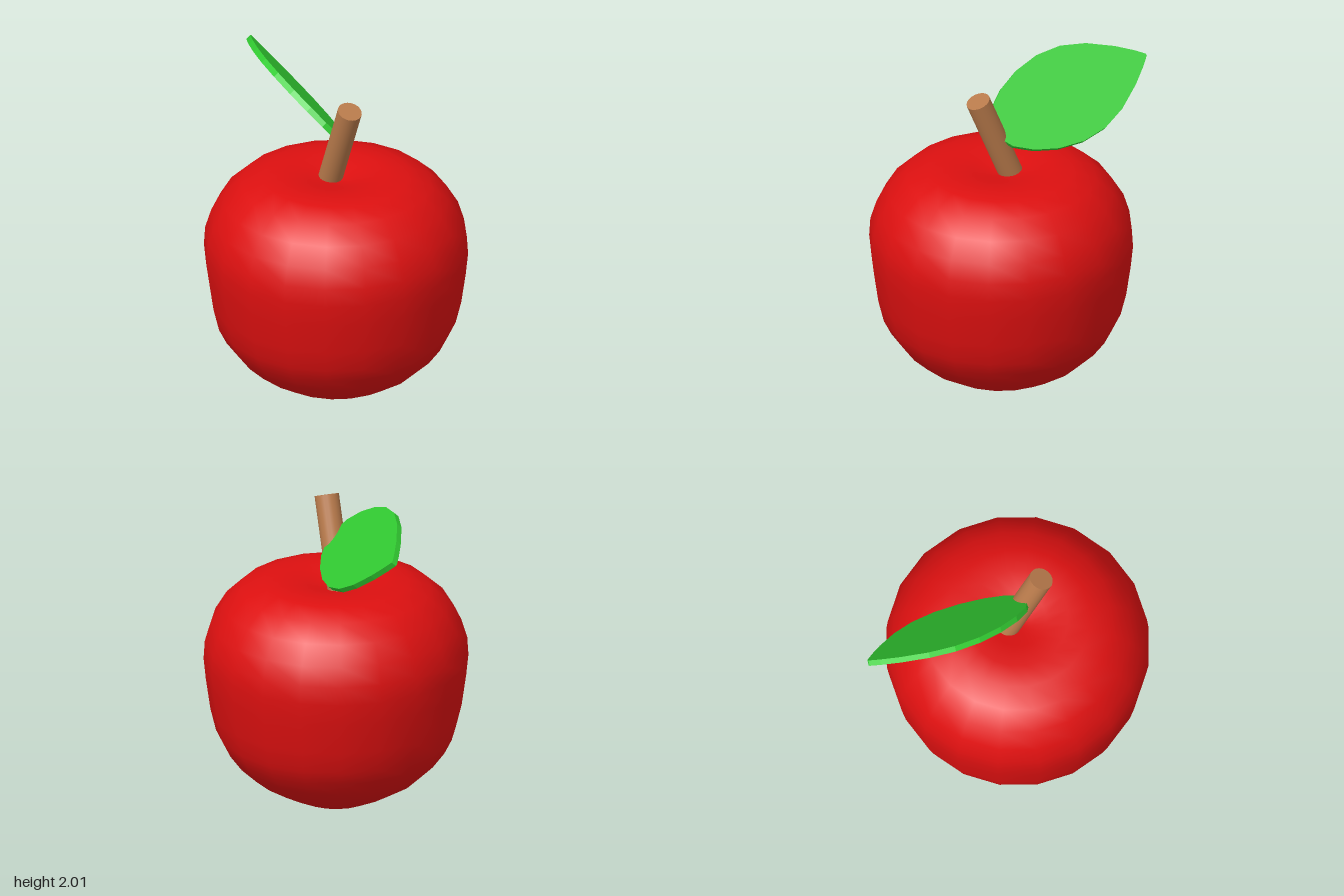
import * as THREE from 'three';

export function createModel() {
  const model = new THREE.Group();
  const material = (name, color) => {
    const m = new THREE.MeshStandardMaterial({ color });
    m.name = name;
    return m;
  };
  const add = (name, geometry, mat) => {
    const mesh = new THREE.Mesh(geometry, mat);
    mesh.name = name;
    model.add(mesh);
    return mesh;
  };
  const red = material('apple red', 0xdd1010);
  const brown = material('stem brown', 0xb87a4b);
  const green = material('leaf green', 0x32cd32);

  // Fruit: turned profile, narrower at the base, with a shallow dimple on top
  const profile = [
    [0, 0], [0.1, 0.013], [0.22, 0.05], [0.37, 0.125], [0.5, 0.205], [0.59, 0.29],
    [0.66, 0.385], [0.705, 0.475], [0.738, 0.61], [0.765, 0.8], [0.778, 0.93],
    [0.771, 1.04], [0.735, 1.155], [0.665, 1.27], [0.56, 1.365], [0.43, 1.413],
    [0.3, 1.423], [0.17, 1.405], [0.08, 1.38], [0, 1.37],
  ].map(([r, y]) => new THREE.Vector2(r, y));
  add('fruit', new THREE.LatheGeometry(profile, 20), red).position.z = 0.105;

  // Stem: straight cylinder leaning forward
  const stemTop = new THREE.Vector3(0, 1.895, 0.262);
  const stemAxis = new THREE.Vector3(0, 0.475, 0.2).normalize();
  const stemLength = 0.62;
  const stem = add('stem', new THREE.CylinderGeometry(0.072, 0.072, stemLength, 20), brown);
  stem.quaternion.setFromUnitVectors(new THREE.Vector3(0, 1, 0), stemAxis);
  stem.position.copy(stemTop).addScaledVector(stemAxis, -stemLength / 2);

  // Leaf: thin symmetrical plate, [fraction of length, half width]
  const base = new THREE.Vector3(0, 1.665, 0.15);
  const tip = new THREE.Vector3(0, 1.895, -0.88);
  const length = base.distanceTo(tip);
  const thickness = 0.035;
  const half = [
    [0, 0.05], [0.05, 0.13], [0.15, 0.205], [0.28, 0.262], [0.43, 0.29],
    [0.58, 0.277], [0.72, 0.222], [0.86, 0.13], [0.95, 0.055], [1, 0.006],
  ];
  const outline = [
    ...half.map(([t, w]) => new THREE.Vector2(t * length, -w)),
    ...half.map(([t, w]) => new THREE.Vector2(t * length, w)).reverse(),
  ];
  const leafGeometry = new THREE.ExtrudeGeometry(new THREE.Shape(outline), {
    depth: thickness, bevelEnabled: false,
  });
  leafGeometry.translate(0, 0, -thickness / 2);

  // Leaf axes: along its length, across its width (rolled to one side), and its normal
  const along = tip.clone().sub(base).normalize();
  const side = new THREE.Vector3(-1, 0, 0);
  const lift = side.clone().cross(along).negate();
  if (lift.y < 0) lift.negate();
  const roll = THREE.MathUtils.degToRad(47);
  const across = side.multiplyScalar(Math.cos(roll)).addScaledVector(lift, Math.sin(roll));
  const normal = along.clone().cross(across);
  leafGeometry.applyMatrix4(new THREE.Matrix4().makeBasis(along, across, normal).setPosition(base));
  add('leaf', leafGeometry, green);

  return model;
}
